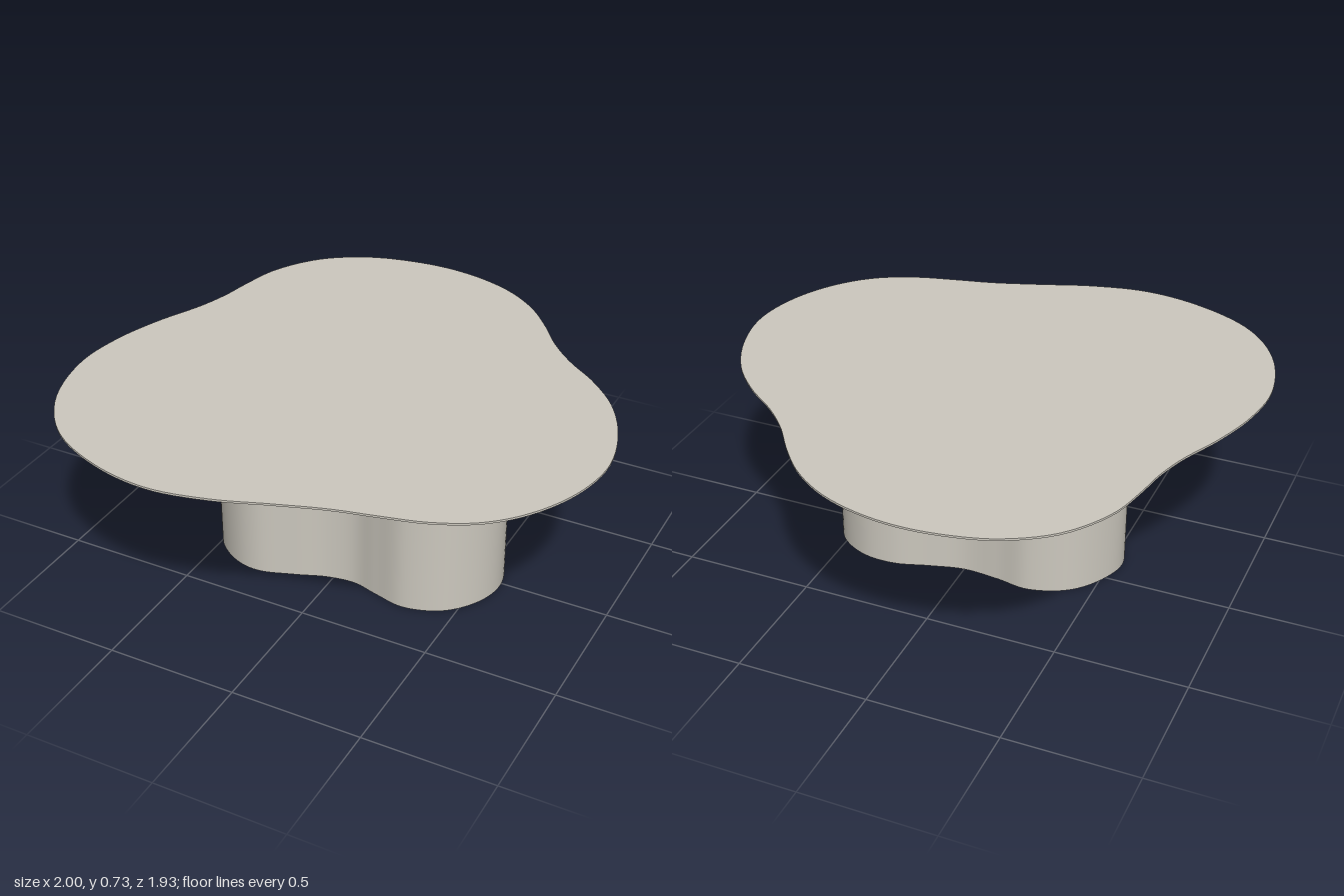
import * as THREE from 'three';
import { mergeGeometries } from 'three/addons/utils/BufferGeometryUtils.js';

const SAMPLES = 160;

// Outlines as [x, z], running clockwise seen from above
const TOP = [
  [-0.12, -0.968], [0.05, -0.945], [0.2, -0.89], [0.33, -0.8], [0.43, -0.69], [0.52, -0.57],
  [0.62, -0.47], [0.75, -0.37], [0.87, -0.24], [0.96, -0.06], [1, 0.14], [0.965, 0.34],
  [0.87, 0.52], [0.75, 0.64], [0.6, 0.715], [0.45, 0.755], [0.28, 0.795], [0.1, 0.855],
  [-0.1, 0.925], [-0.32, 0.963], [-0.55, 0.925], [-0.78, 0.81], [-0.93, 0.62], [-1, 0.36],
  [-0.98, 0.15], [-0.92, -0.04], [-0.84, -0.22], [-0.8, -0.35], [-0.78, -0.46], [-0.735, -0.63],
  [-0.62, -0.8], [-0.46, -0.905], [-0.3, -0.952],
];
const BASE = [
  [-0.515, 0], [-0.42, -0.125], [-0.271, -0.185], [-0.14, -0.168], [0, -0.16], [0.127, -0.19],
  [0.27, -0.23], [0.4, -0.22], [0.52, -0.145], [0.58, 0], [0.555, 0.13], [0.458, 0.25],
  [0.313, 0.3], [0.187, 0.275], [0.09, 0.25], [-0.017, 0.262], [-0.144, 0.308], [-0.28, 0.348],
  [-0.38, 0.33], [-0.49, 0.25], [-0.545, 0.12],
];

// Smooth closed outline, with the outward normal of each point
function sampleOutline(points) {
  const curve = new THREE.CatmullRomCurve3(points.map(([x, z]) => new THREE.Vector3(x, 0, z)), true);
  return Array.from({ length: SAMPLES }, (_, i) => {
    const p = curve.getPointAt(i / SAMPLES), t = curve.getTangentAt(i / SAMPLES);
    return { x: p.x, z: p.z, nx: t.z, nz: -t.x };
  });
}

const inset = (outline, d) => outline.map((p) => [p.x - p.nx * d, p.z - p.nz * d]);

// Wall between two rings, lower to upper
function wall(lower, y0, upper, y1) {
  const pos = [], index = [];
  for (let i = 0; i < SAMPLES; i++) {
    pos.push(lower[i][0], y0, lower[i][1], upper[i][0], y1, upper[i][1]);
    const a = 2 * i, b = 2 * ((i + 1) % SAMPLES);
    index.push(b, a, a + 1, b, a + 1, b + 1);
  }
  const g = new THREE.BufferGeometry();
  g.setAttribute('position', new THREE.Float32BufferAttribute(pos, 3));
  g.setIndex(index);
  g.computeVertexNormals();
  return g;
}

// Flat cap facing up (side 1) or down (side -1)
function cap(ring, y, side) {
  const shape = new THREE.Shape(ring.map(([x, z]) => new THREE.Vector2(x, -side * z)));
  const g = new THREE.ShapeGeometry(shape).rotateX(-side * Math.PI / 2).translate(0, y, 0);
  g.deleteAttribute('uv');
  return g;
}

// Solid from a stack of { inset, y } levels, bottom first
function stack(points, levels) {
  const outline = sampleOutline(points);
  const rings = levels.map((l) => inset(outline, l.inset));
  const last = levels.length - 1;
  const parts = [cap(rings[0], levels[0].y, -1), cap(rings[last], levels[last].y, 1)];
  for (let i = 0; i < last; i++) parts.push(wall(rings[i], levels[i].y, rings[i + 1], levels[i + 1].y));
  return mergeGeometries(parts);
}

export function createModel() {
  const group = new THREE.Group();
  group.name = 'organicCoffeeTable';
  const stone = new THREE.MeshStandardMaterial({ color: 0xcdc9bf });
  stone.name = 'warm grey';

  // Table top: thin rim with a wide bevel underneath
  const top = new THREE.Mesh(stack(TOP, [
    { inset: 0.088, y: 0.688 }, { inset: 0, y: 0.725 }, { inset: 0, y: 0.733 },
  ]), stone);
  top.name = 'tableTop';

  // Two-lobed pedestal
  const base = new THREE.Mesh(stack(BASE, [{ inset: 0, y: 0 }, { inset: 0, y: 0.69 }]), stone);
  base.name = 'pedestal';

  group.add(top, base);
  return group;
}
